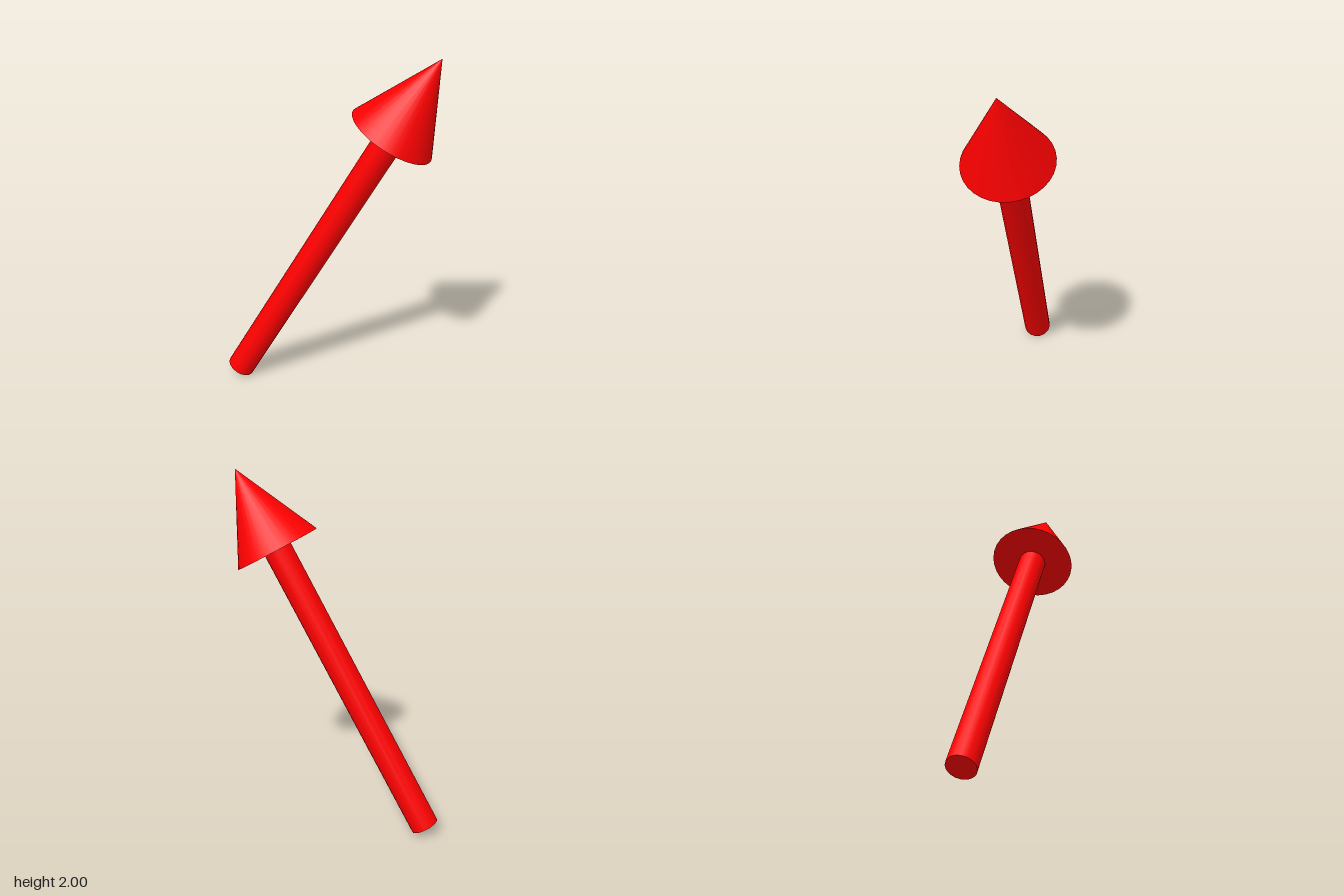
import * as THREE from 'three';

const TILT = THREE.MathUtils.degToRad(30.2);
const LENGTH = 2.265;        // tail to tip
const HEAD_LENGTH = 0.486;
const HEAD_RADIUS = 0.243;
const SHAFT_RADIUS = 0.08;

export function createModel() {
  const model = new THREE.Group();
  model.name = 'arrow';
  const red = new THREE.MeshStandardMaterial({ color: 0xff0000 });

  // Arrow built upright from its tail, then leaned towards +x
  const arrow = new THREE.Group();
  arrow.name = 'leaningArrow';
  const shaftLength = LENGTH - HEAD_LENGTH;

  // Round shaft, capped at the tail
  const shaft = new THREE.Mesh(
    new THREE.CylinderGeometry(SHAFT_RADIUS, SHAFT_RADIUS, shaftLength, 16), red);
  shaft.name = 'shaft';
  shaft.position.y = shaftLength / 2;

  // Conical head with a flat underside
  const head = new THREE.Mesh(
    new THREE.ConeGeometry(HEAD_RADIUS, HEAD_LENGTH, 32), red);
  head.name = 'head';
  head.position.y = shaftLength + HEAD_LENGTH / 2;

  arrow.add(shaft, head);
  arrow.rotation.z = -TILT;

  // Lowest rim point rests on the ground; tail rim and tip are centred on x
  const halfWidth = (LENGTH * Math.sin(TILT) + SHAFT_RADIUS * Math.cos(TILT)) / 2;
  arrow.position.set(
    SHAFT_RADIUS * Math.cos(TILT) - halfWidth,
    SHAFT_RADIUS * Math.sin(TILT),
    0);

  model.add(arrow);
  return model;
}
